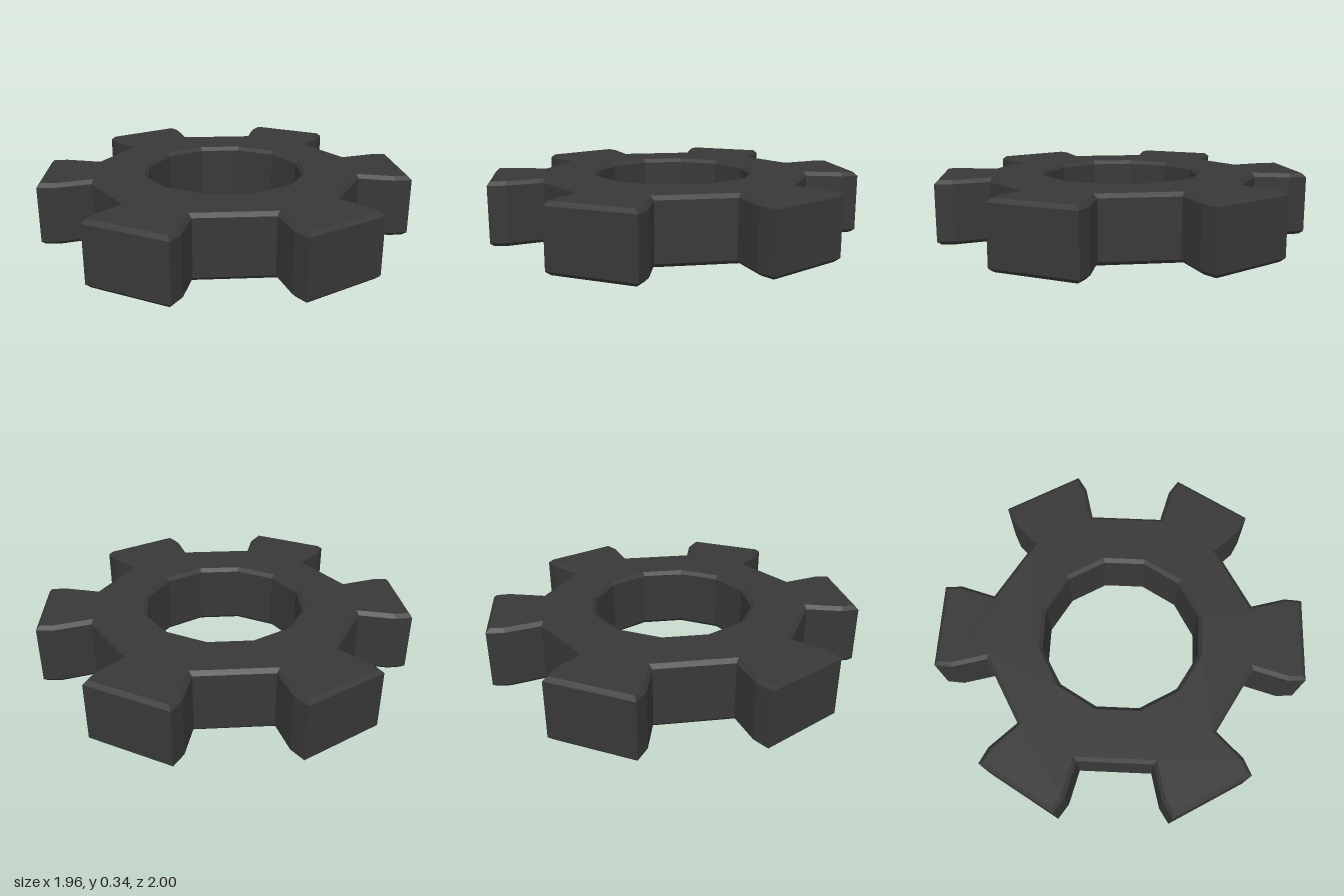
import * as THREE from 'three';

const HEIGHT = 0.345;
const BEVEL = 0.02;
const TEETH = 6;

// Half of one tooth: [sideways, outward], from the root to the tip
const HALF_TOOTH = [[0.186, 0.72], [0.238, 0.905], [0.232, 1.0]];

function gearOutline() {
  const tooth = [
    ...HALF_TOOTH,
    ...HALF_TOOTH.map(([x, y]) => [-x, y]).reverse(),
  ];
  const points = [];
  for (let i = 0; i < TEETH; i++) {
    const turn = (i / TEETH) * Math.PI * 2;
    for (const [x, y] of tooth) {
      points.push(new THREE.Vector2(x, y).rotateAround(new THREE.Vector2(), turn));
    }
  }
  return new THREE.Shape(points);
}

// Twelve-sided bore with flats facing the axes
function boreOutline(radius, sides) {
  const points = [];
  for (let i = 0; i < sides; i++) {
    const a = -((i + 0.5) / sides) * Math.PI * 2;
    points.push(new THREE.Vector2(Math.cos(a) * radius, Math.sin(a) * radius));
  }
  return new THREE.Path(points);
}

export function createModel() {
  const darkSteel = new THREE.MeshStandardMaterial({ color: 0x383838 });
  darkSteel.name = 'darkSteel';
  darkSteel.flatShading = true;

  const shape = gearOutline();
  shape.holes.push(boreOutline(0.438, 12));

  // Chamfered on the top and bottom rims, inside and out
  const geometry = new THREE.ExtrudeGeometry(shape, {
    depth: HEIGHT - 2 * BEVEL,
    bevelEnabled: true,
    bevelThickness: BEVEL,
    bevelSize: BEVEL,
    bevelOffset: -BEVEL,
    bevelSegments: 1,
  });
  geometry.translate(0, 0, BEVEL);
  geometry.rotateX(-Math.PI / 2);

  const gear = new THREE.Mesh(geometry, darkSteel);
  gear.name = 'gearWheel';

  const model = new THREE.Group();
  model.name = 'gear';
  model.add(gear);
  return model;
}
